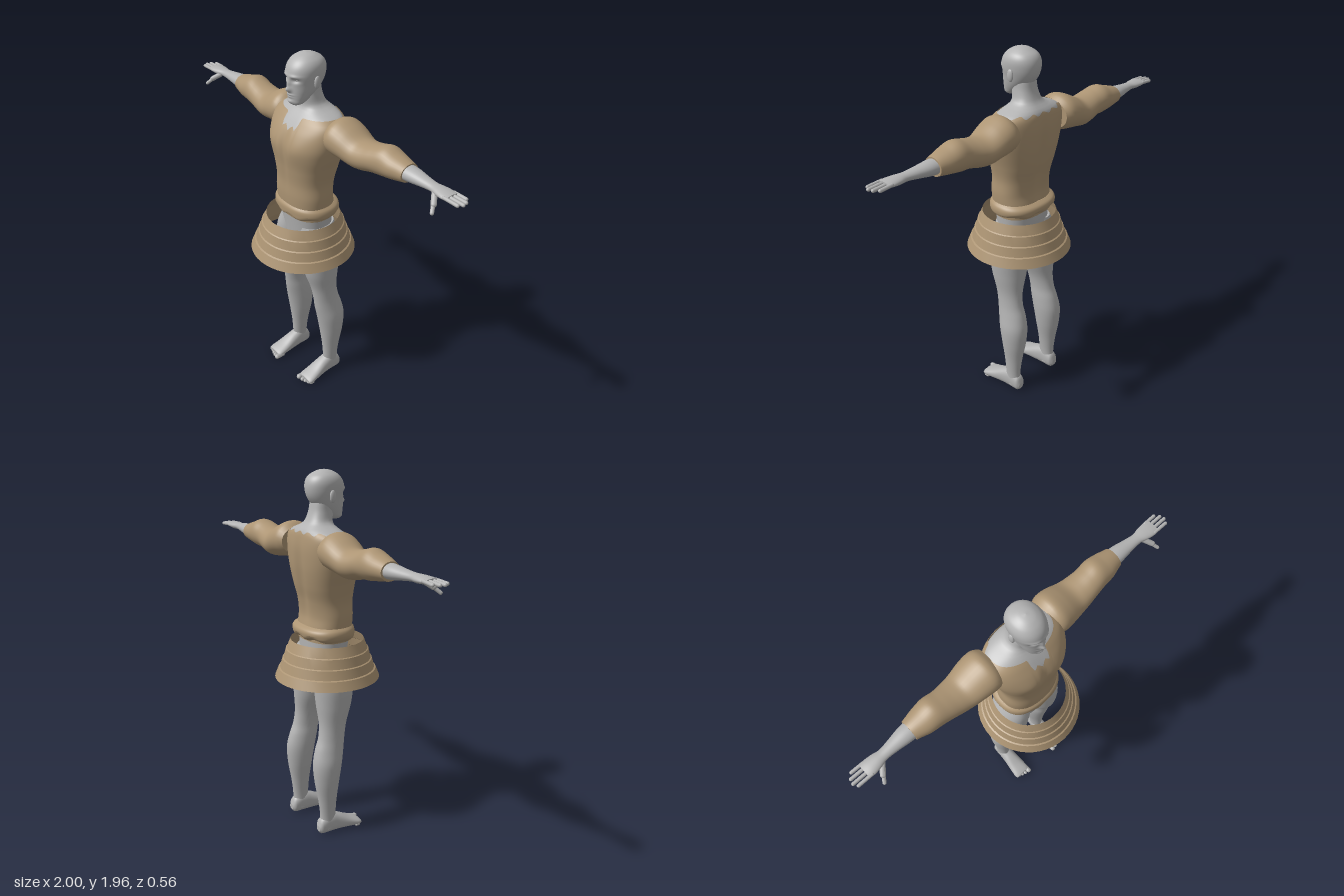
import * as THREE from 'three';
import { toCreasedNormals } from 'three/addons/utils/BufferGeometryUtils.js';

// Smoothly interpolates rows of numbers keyed by their first column
function sample(rows, t) {
  let i = 0;
  while (i < rows.length - 2 && t > rows[i + 1][0]) i++;
  const a = rows[i], b = rows[i + 1], h = b[0] - a[0];
  const s = THREE.MathUtils.clamp((t - a[0]) / h, 0, 1);
  const slope = (k, c) => {
    const p = rows[Math.max(k - 1, 0)], q = rows[Math.min(k + 1, rows.length - 1)];
    return (q[c] - p[c]) / (q[0] - p[0]);
  };
  return a.map((v, c) => {
    const m0 = slope(i, c) * h, m1 = slope(i + 1, c) * h, s2 = s * s, s3 = s2 * s;
    return (2 * s3 - 3 * s2 + 1) * v + (s3 - 2 * s2 + s) * m0 + (3 * s2 - 2 * s3) * b[c] + (s3 - s2) * m1;
  });
}

// Skin through cross-sections [along, lo1, hi1, lo2, hi2] on the given axis
function loft(axis, rows, { n = 32, m = 40, off = 0, pow = 1, top = null, bump = null, caps = true } = {}) {
  const pos = [], idx = [], first = rows[0][0], last = rows[rows.length - 1][0];
  const sp = v => Math.sign(v) * Math.abs(v) ** pow;
  for (let i = 0; i <= m; i++) for (let j = 0; j < n; j++) {
    const th = j / n * Math.PI * 2, c = sp(Math.cos(th)), s = sp(Math.sin(th));
    const end = top ? top(c, s) : last;
    const t = first + (end - first) * i / m;
    const r = sample(rows, t);
    const p = (r[1] + r[2]) / 2 + c * ((r[2] - r[1]) / 2 + off);
    const q = (r[3] + r[4]) / 2 + s * ((r[4] - r[3]) / 2 + off);
    const v = axis === 'y' ? [p, t, q] : axis === 'x' ? [t, p, q] : [p, q, t];
    if (bump) bump(v, s);
    pos.push(...v);
  }
  const tri = (a, b, c) => axis === 'y' ? idx.push(a, c, b) : idx.push(a, b, c);
  for (let i = 0; i < m; i++) for (let j = 0; j < n; j++) {
    const a = i * n + j, b = i * n + (j + 1) % n;
    tri(a, b, a + n);
    tri(b, b + n, a + n);
  }
  if (caps) for (const i of [0, m]) {
    const base = pos.length / 3, mid = [0, 0, 0];
    for (let j = 0; j < n; j++) for (let k = 0; k < 3; k++) {
      const v = pos[(i * n + j) * 3 + k];
      pos.push(v);
      mid[k] += v / n;
    }
    pos.push(...mid);
    for (let j = 0; j < n; j++) {
      const a = base + j, b = base + (j + 1) % n;
      if (i) tri(a, b, base + n); else tri(b, a, base + n);
    }
  }
  const g = new THREE.BufferGeometry();
  g.setAttribute('position', new THREE.Float32BufferAttribute(pos, 3));
  g.setIndex(idx);
  g.computeVertexNormals();
  return g;
}

// Rounded rod between two points, for fingers and toes
function rod(a, b, r) {
  const A = new THREE.Vector3(...a), B = new THREE.Vector3(...b), d = B.clone().sub(A);
  const g = new THREE.CapsuleGeometry(r, d.length(), 5, 12);
  g.applyQuaternion(new THREE.Quaternion().setFromUnitVectors(new THREE.Vector3(0, 1, 0), d.normalize()));
  return g.translate(...A.add(B).multiplyScalar(0.5).toArray());
}

function ball(x, y, z, rx, ry, rz) {
  return new THREE.SphereGeometry(1, 20, 14).scale(rx, ry, rz).translate(x, y, z);
}

function mirrored(g) {
  const c = g.clone().scale(-1, 1, 1), k = c.index.array;
  for (let i = 0; i < k.length; i += 3) [k[i], k[i + 1]] = [k[i + 1], k[i]];
  c.computeVertexNormals();
  return c;
}

const gauss = (d, w) => Math.exp(-((d / w) ** 2));

// Chest muscles and the groove of the spine
function muscles(v, s) {
  const [x, y] = v;
  if (s > 0) {
    v[2] += 0.010 * s * gauss(Math.abs(x) - 0.09, 0.07) * gauss(y - 1.51, 0.06);
    v[2] -= 0.006 * s * gauss(x, 0.02) * gauss(y - 1.45, 0.15);
  } else {
    v[2] -= 0.018 * s * gauss(x, 0.035) * gauss(y - 1.4, 0.18);
  }
}

// Face relief: [x, y, width, height, depth]
const face = [
  [0, 1.797, 0.014, 0.015, 0.020], [0, 1.825, 0.010, 0.022, 0.012],
  [0.035, 1.845, 0.018, 0.011, -0.013], [0.035, 1.866, 0.028, 0.008, 0.005],
  [0, 1.770, 0.022, 0.005, 0.006], [0, 1.758, 0.018, 0.005, 0.005], [0, 1.735, 0.020, 0.010, 0.007],
];
function features(v, s) {
  if (s <= 0.2) return;
  const [x, y] = v;
  for (const [fx, fy, w, h, d] of face) v[2] += d * gauss(Math.abs(x) - fx, w) * gauss(y - fy, h);
}

// Torn collar line: deep notch in front, wavy behind
const notch = [[0, 1.585], [0.022, 1.612], [0.045, 1.595], [0.062, 1.655], [0.3, 1.664]];
function collar(c, s) {
  if (s < 0) return 1.658 + 0.007 * Math.cos(c * 16);
  const x = Math.min(Math.abs(c) * 0.21, 0.29);
  const i = notch.findIndex((p, k) => k && x <= p[0]);
  const [a, b] = [notch[i - 1], notch[i]];
  return a[1] + (b[1] - a[1]) * (x - a[0]) / (b[0] - a[0]);
}

export function createModel() {
  const model = new THREE.Group();
  const skin = new THREE.MeshStandardMaterial({ color: 0xb3b3b3 });
  skin.name = 'grey skin';
  const cloth = new THREE.MeshStandardMaterial({ color: 0xad9574, side: THREE.DoubleSide });
  cloth.name = 'tan cloth';
  const add = (name, g, mat) => {
    const mesh = new THREE.Mesh(g, mat);
    mesh.name = name;
    model.add(mesh);
  };
  const pair = (name, g, mat) => {
    add('left ' + name, g, mat);
    add('right ' + name, mirrored(g), mat);
  };

  // Body and neck, with the shirt as a slightly larger shell
  const body = [
    [0.94, 0.14, -0.13, 0.07], [1.09, 0.15, -0.135, 0.09], [1.15, 0.155, -0.135, 0.10],
    [1.22, 0.158, -0.125, 0.105], [1.30, 0.155, -0.135, 0.105], [1.38, 0.170, -0.155, 0.113],
    [1.46, 0.192, -0.168, 0.122], [1.52, 0.207, -0.172, 0.118], [1.58, 0.212, -0.172, 0.098],
    [1.63, 0.205, -0.166, 0.065], [1.66, 0.170, -0.158, 0.040], [1.68, 0.115, -0.142, 0.022],
    [1.70, 0.078, -0.122, 0.014], [1.75, 0.062, -0.100, 0.020], [1.80, 0.058, -0.09, 0.02],
  ].map(([y, w, b, f]) => [y, -w, w, b, f]);
  add('body', loft('y', body, { n: 64, m: 70, pow: 0.85, bump: muscles }), skin);
  const shirt = body.slice(1);
  add('shirt', loft('y', shirt, { n: 160, m: 60, pow: 0.85, off: 0.006, top: collar, bump: muscles, caps: false }), cloth);

  // Rolled hem
  const hem = [
    [1.100, 0.162, -0.140, 0.100], [1.112, 0.176, -0.160, 0.115], [1.135, 0.182, -0.170, 0.119],
    [1.157, 0.176, -0.163, 0.117], [1.170, 0.162, -0.140, 0.108],
  ].map(([y, w, b, f]) => [y, -w, w, b, f]);
  const ripple = v => { if (v[1] < 1.13) v[1] += 0.006 * Math.sin(v[0] * 55); };
  add('hem', loft('y', hem, { n: 64, m: 14, pow: 0.85, bump: ripple }), cloth);

  // Tiered open skirt
  const tiers = [
    [0.282, 0.868], [0.262, 0.918], [0.254, 0.922], [0.241, 0.970],
    [0.234, 0.974], [0.222, 1.024], [0.216, 1.028], [0.196, 1.080],
  ].map(p => new THREE.Vector2(...p));
  add('skirt', toCreasedNormals(new THREE.LatheGeometry(tiers, 48), 0.3), cloth);

  // Head
  const head = [
    [1.712, 0.022, 0.025, 0.066], [1.722, 0.040, 0.005, 0.078], [1.745, 0.053, -0.03, 0.081],
    [1.78, 0.066, -0.075, 0.083], [1.82, 0.076, -0.107, 0.084], [1.86, 0.084, -0.120, 0.089],
    [1.90, 0.084, -0.118, 0.080], [1.93, 0.070, -0.100, 0.058], [1.95, 0.043, -0.065, 0.027],
    [1.958, 0.020, -0.04, 0.0], [1.96, 0.002, -0.02, -0.016],
  ].map(([y, w, b, f]) => [y, -w, w, b, f]);
  add('head', loft('y', head, { n: 96, m: 90, pow: 0.95, bump: features }), skin);
  pair('ear', ball(0.084, 1.832, -0.02, 0.010, 0.032, 0.018), skin);
  pair('eye', ball(0.034, 1.845, 0.058, 0.013, 0.009, 0.011), skin);

  // Sleeves
  pair('sleeve', loft('x', [
    [0.17, 1.510, 1.655, -0.170, 0.02], [0.20, 1.495, 1.677, -0.184, 0.035], [0.23, 1.490, 1.680, -0.188, 0.038],
    [0.28, 1.485, 1.660, -0.187, 0.030], [0.35, 1.475, 1.625, -0.178, 0.015], [0.40, 1.480, 1.625, -0.170, 0.008],
    [0.46, 1.495, 1.638, -0.162, 0.000], [0.52, 1.500, 1.652, -0.165, -0.008], [0.58, 1.510, 1.634, -0.160, -0.015],
    [0.63, 1.518, 1.620, -0.150, -0.030], [0.652, 1.522, 1.613, -0.146, -0.036],
  ], { m: 50 }), cloth);

  // Forearm and palm
  pair('forearm', loft('x', [
    [0.60, 1.530, 1.608, -0.138, -0.042], [0.68, 1.535, 1.605, -0.135, -0.046], [0.75, 1.545, 1.597, -0.122, -0.053],
    [0.81, 1.552, 1.592, -0.113, -0.055], [0.85, 1.552, 1.592, -0.120, -0.045], [0.89, 1.556, 1.590, -0.123, -0.038],
    [0.92, 1.562, 1.586, -0.120, -0.040],
  ]), skin);
  [[-0.114, 0.965], [-0.092, 0.985], [-0.069, 0.991], [-0.047, 0.978]].forEach(([z, tip], i) =>
    pair('finger ' + (i + 1), rod([0.90, 1.575, z], [tip, 1.572, z * 1.02], 0.009), skin));
  pair('thumb base', rod([0.835, 1.562, -0.062], [0.868, 1.533, -0.025], 0.014), skin);
  pair('thumb tip', rod([0.862, 1.537, -0.030], [0.885, 1.508, 0.000], 0.0095), skin);

  // Legs
  pair('leg', loft('y', [
    [0.03, 0.108, 0.178, -0.140, -0.050], [0.10, 0.110, 0.178, -0.135, -0.045], [0.20, 0.100, 0.186, -0.145, -0.038],
    [0.32, 0.080, 0.202, -0.165, -0.022], [0.42, 0.070, 0.207, -0.171, -0.005], [0.50, 0.070, 0.195, -0.155, 0.010],
    [0.56, 0.073, 0.187, -0.135, 0.018], [0.64, 0.062, 0.186, -0.125, 0.032], [0.75, 0.027, 0.200, -0.133, 0.065],
    [0.87, 0.008, 0.208, -0.140, 0.078], [0.96, 0.002, 0.190, -0.145, 0.080], [1.04, 0.010, 0.150, -0.130, 0.070],
  ], { m: 60 }), skin);

  // Feet and toes
  pair('foot', loft('z', [
    [-0.152, 0.128, 0.162, 0.020, 0.050], [-0.140, 0.113, 0.174, 0.004, 0.085], [-0.08, 0.106, 0.180, 0.001, 0.115],
    [-0.03, 0.102, 0.184, 0.001, 0.100], [0.04, 0.097, 0.194, 0.001, 0.064], [0.09, 0.096, 0.199, 0.001, 0.042],
    [0.105, 0.102, 0.194, 0.006, 0.034],
  ], { pow: 0.85 }), skin);
  [[0.108, 0.115, 0.015], [0.134, 0.112, 0.011], [0.154, 0.106, 0.010], [0.172, 0.098, 0.010], [0.188, 0.089, 0.009]]
    .forEach(([x, z, r], i) => pair('toe ' + (i + 1), rod([x, r, 0.075], [x, r, z], r), skin));

  return model;
}
